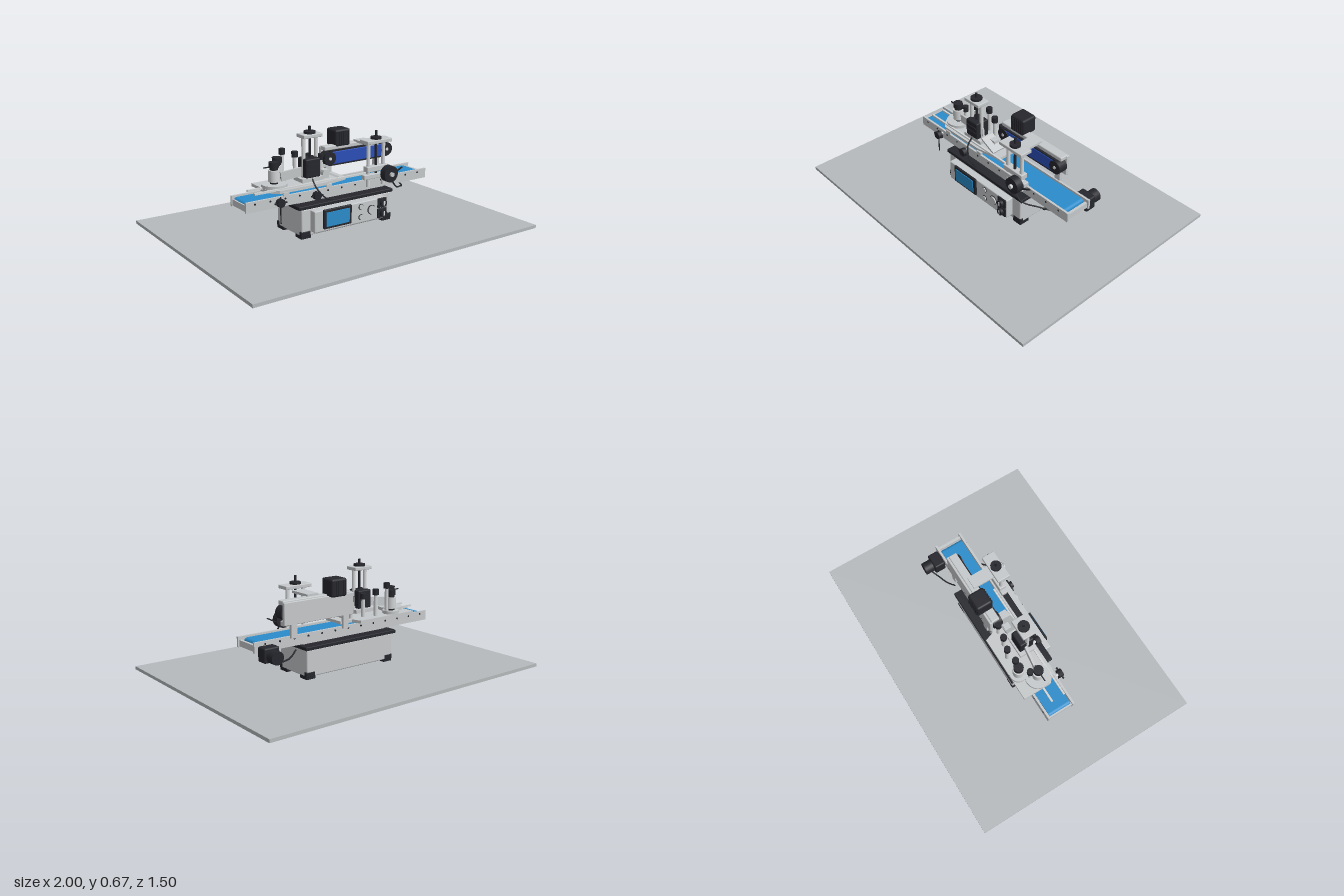
import * as THREE from 'three';
import { RoundedBoxGeometry } from 'three/addons/geometries/RoundedBoxGeometry.js';

const mat = (name, color) => Object.assign(new THREE.MeshStandardMaterial({ color }), { name });

export function createModel() {
  const root = new THREE.Group();
  root.name = 'labelApplicator';
  const floorGrey = mat('floor grey', 0xb6babc);
  const metal = mat('light metal', 0xc6c9cb);
  const steel = mat('bright steel', 0xd2d5d6);
  const black = mat('soft black', 0x26272d);
  const blue = mat('belt blue', 0x2a8ccb);
  const royal = mat('press belt blue', 0x2a4fb8);

  const add = (name, geo, m, x = 0, y = 0, z = 0) => {
    const mesh = new THREE.Mesh(geo, m);
    mesh.name = name;
    mesh.position.set(x, y, z);
    root.add(mesh);
    return mesh;
  };
  // Box given by its lower and upper corners, optionally rounded
  const box = (name, m, a, b, r = 0) => {
    const s = a.map((v, i) => b[i] - v);
    const geo = r ? new RoundedBoxGeometry(...s, 2, r) : new THREE.BoxGeometry(...s);
    return add(name, geo, m, ...a.map((v, i) => (v + b[i]) / 2));
  };
  // Upright cylinder from y0 to y1
  const post = (name, m, x, z, r, y0, y1, n = 20) =>
    add(name, new THREE.CylinderGeometry(r, r, y1 - y0, n), m, x, (y0 + y1) / 2, z);
  // Cylinder lying along z
  const dial = (name, m, x, y, r, z0, z1, n = 24) => {
    const c = add(name, new THREE.CylinderGeometry(r, r, z1 - z0, n), m, x, y, (z0 + z1) / 2);
    c.rotation.x = Math.PI / 2;
    return c;
  };
  const cable = (name, pts) => add(name, new THREE.TubeGeometry(
    new THREE.CatmullRomCurve3(pts.map(p => new THREE.Vector3(...p))), 32, 0.005, 6), black);

  box('floorPlate', floorGrey, [-1, 0, -0.75], [1, 0.02, 0.75]);

  // Control cabinet with feet, bumpers and black lid
  box('cabinet', metal, [-0.33, 0.035, -0.135], [0.33, 0.2, 0.14], 0.008);
  for (const x of [-0.3, 0.3]) for (const z of [-0.098, 0.105]) {
    box('foot', black, [x - 0.032, 0.02, z - 0.035], [x + 0.032, 0.04, z + 0.035]);
    const out = Math.sign(x), zs = Math.sign(z);
    box('cornerBumper', black, [x - 0.032 + out * 0.003, 0.035, z - 0.012 + zs * 0.026],
      [x + 0.032 + out * 0.003, 0.065, z + 0.012 + zs * 0.026], 0.004);
  }
  box('cabinetLid', black, [-0.35, 0.2, -0.15], [0.345, 0.222, 0.145], 0.004);

  // Front control panel
  box('controlPanel', metal, [-0.27, 0.06, 0.135], [0.262, 0.192, 0.188], 0.006);
  box('screenFrame', black, [-0.212, 0.075, 0.185], [-0.01, 0.195, 0.2], 0.005);
  box('screen', blue, [-0.196, 0.09, 0.198], [-0.03, 0.178, 0.204]);
  for (const y of [0.097, 0.162]) {
    dial('smallButton', black, 0.065, y, 0.018, 0.186, 0.191);
    dial('smallButtonCap', metal, 0.065, y, 0.015, 0.187, 0.197);
    box('switchPlate', black, [0.19, y - 0.031, 0.186], [0.258, y + 0.031, 0.197], 0.004);
    dial('switchKnob', black, 0.225, y, 0.022, 0.19, 0.214);
    box('switchGrip', steel, [0.22, y - 0.014, 0.213], [0.23, y + 0.014, 0.217]);
  }
  dial('largeButtonRing', black, 0.145, 0.13, 0.03, 0.186, 0.191);
  dial('largeButton', metal, 0.145, 0.13, 0.026, 0.187, 0.199);

  // Conveyor: belt, end rollers, side rails and bed
  box('conveyorBelt', blue, [-0.635, 0.242, -0.078], [0.605, 0.282, 0.072]);
  for (const x of [-0.635, 0.605]) dial('beltEnd', blue, x, 0.262, 0.02, -0.078, 0.072);
  for (const z of [-0.095, 0.077]) box('sideRail', metal, [-0.667, 0.23, z], [0.662, 0.292, z + 0.014]);
  for (const x of [-0.662, 0.635]) box('endBar', metal, [x, 0.235, -0.085], [x + 0.018, 0.272, 0.08]);
  box('conveyorBed', metal, [-0.32, 0.222, -0.08], [0.32, 0.243, 0.075]);
  for (let i = 0; i < 13; i++) for (const z of [-0.098, 0.09])
    dial('railBolt', black, -0.61 + i * 0.1, 0.275, 0.006, z, z + 0.004, 8);
  for (const x of [-0.46, -0.21]) {
    dial('railClampStem', steel, x, 0.265, 0.01, 0.09, 0.115);
    dial('railClampKnob', black, x, 0.265, 0.026, 0.108, 0.138, 8);
    box('railClampBar', black, [x - 0.04, 0.261, 0.12], [x + 0.04, 0.269, 0.13]);
  }
  post('hangingRod', black, -0.46, 0.123, 0.004, 0.14, 0.3, 8);

  // Conveyor drive motor
  box('driveMotor', black, [0.54, 0.182, -0.168], [0.642, 0.27, -0.095], 0.01);
  dial('driveMotorCap', black, 0.592, 0.22, 0.04, -0.225, -0.16);
  cable('motorCable', [[0.39, 0.21, -0.11], [0.45, 0.18, -0.14], [0.52, 0.175, -0.165], [0.6, 0.19, -0.2]]);
  cable('frontCable', [[0.31, 0.29, 0.17], [0.36, 0.235, 0.16], [0.44, 0.21, 0.1], [0.52, 0.185, 0.02], [0.57, 0.19, -0.1]]);

  // Label deck above the infeed end
  const deckShape = new THREE.Shape([[-0.495, 0.155], [-0.06, 0.155], [-0.04, 0.095], [0.05, 0.095],
    [0.05, -0.05], [-0.12, -0.085], [-0.44, -0.085], [-0.495, -0.03]].map(p => new THREE.Vector2(...p)));
  const deck = add('labelDeck', new THREE.ExtrudeGeometry(deckShape, { depth: 0.018, bevelEnabled: false }), metal, 0, 0.305, 0);
  deck.rotation.x = -Math.PI / 2;
  for (const x of [-0.4, -0.1]) for (const z of [-0.088, 0.084])
    box('deckSupport', metal, [x - 0.02, 0.29, z - 0.008], [x + 0.02, 0.31, z + 0.008]);
  box('guideRod', steel, [-0.595, 0.318, -0.03], [-0.48, 0.33, -0.018]);
  box('guideRod', steel, [-0.595, 0.318, 0.055], [0.2, 0.33, 0.067]);

  // Label spools with flanges
  for (const [x, z, r] of [[-0.42, -0.015, 0.077], [-0.345, -0.105, 0.052]]) {
    post('spoolFlange', metal, x, z, r, 0.323, 0.343, 32);
    post('spoolCore', black, x, z, 0.024, 0.343, 0.46);
    post('spoolCollar', steel, x, z, 0.034, 0.355, 0.425);
    post('spoolKnob', black, x, z, 0.03, 0.44, 0.472);
  }
  box('spoolArm', black, [-0.49, 0.443, -0.018], [-0.38, 0.449, -0.012]);
  // Guide posts with black caps
  for (const [x, z, top] of [[-0.31, -0.105, 0.52], [-0.22, -0.105, 0.49], [-0.14, -0.08, 0.47],
    [-0.055, -0.065, 0.46], [-0.395, -0.055, 0.44]]) {
    post('guidePost', steel, x, z, 0.012, 0.32, top - 0.03);
    post('guidePostCap', black, x, z, 0.02, top - 0.035, top);
  }
  // Slanted peel plate and its nose block
  const peel = box('peelArm', metal, [-0.38, 0.365, 0], [-0.13, 0.42, 0.014]);
  peel.rotation.set(0, -0.12, 0.12);
  const nose = box('peelNose', metal, [-0.12, 0.35, -0.035], [0.0, 0.362, 0.055]);
  nose.rotation.z = -0.45;
  box('noseBracket', metal, [-0.09, 0.32, -0.03], [-0.045, 0.375, 0.01]);

  // Height-adjustable stand: two columns, cross plate, threaded rod and knob
  const stand = (x, z, half, y0, plateTop, w, d, rodTop, r) => {
    for (const s of [-1, 1]) post('standColumn', steel, x + s * half, z, 0.012, y0, plateTop - 0.01);
    box('standTopPlate', metal, [x - w, plateTop - 0.022, z - d], [x + w, plateTop, z + d], 0.004);
    post('threadedRod', black, x, z, 0.008, y0 + 0.06, rodTop, 10);
    post('standKnob', black, x, z, r, plateTop, plateTop + 0.014);
  };
  stand(-0.193, 0.022, 0.045, 0.3, 0.622, 0.066, 0.043, 0.665, 0.036);
  stand(0.24, 0.103, 0.058, 0.25, 0.547, 0.094, 0.042, 0.6, 0.034);

  // Print head on the tall stand
  box('printHead', black, [-0.247, 0.36, -0.03], [-0.145, 0.475, 0.065], 0.008);
  for (let i = 0; i < 2; i++)
    box('printHeadRib', black, [-0.238, 0.4 + i * 0.035, 0.06], [-0.154, 0.408 + i * 0.035, 0.07]);
  box('printHeadBase', metal, [-0.27, 0.335, -0.04], [-0.12, 0.358, 0.06]);
  cable('headCable', [[-0.2, 0.36, 0.05], [-0.195, 0.3, 0.1], [-0.14, 0.235, 0.125], [-0.07, 0.22, 0.13]]);

  // Handwheel bracket on the front stand
  box('standFoot', metal, [0.14, 0.3, 0.085], [0.34, 0.33, 0.122], 0.004);
  box('standSlider', metal, [0.16, 0.345, 0.08], [0.32, 0.38, 0.126], 0.004);
  dial('handwheelShaft', steel, 0.3, 0.328, 0.015, 0.1, 0.15);
  dial('handwheel', black, 0.3, 0.328, 0.052, 0.14, 0.185);
  dial('handwheelHub', metal, 0.3, 0.328, 0.014, 0.183, 0.2);
  const lever = box('lever', black, [0.32, 0.325, 0.145], [0.42, 0.333, 0.153]);
  lever.rotation.z = 0.45;

  // Side press belt: face belt, end rollers, back plate and top rail
  box('pressBelt', royal, [-0.01, 0.388, -0.085], [0.435, 0.467, -0.032], 0.004);
  for (const x of [-0.01, 0.432]) {
    dial('pressRoller', black, x, 0.428, 0.043, -0.088, -0.028);
    dial('pressRollerPin', steel, x, 0.428, 0.01, -0.03, -0.024, 12);
  }
  for (const y of [0.38, 0.468]) box('pressEdge', black, [-0.01, y, -0.086], [0.435, y + 0.008, -0.034]);
  box('pressTopRail', metal, [-0.038, 0.476, -0.098], [0.465, 0.503, -0.045], 0.006);
  box('pressBackPlate', metal, [-0.04, 0.36, -0.112], [0.468, 0.495, -0.09], 0.004);
  for (const x of [0.02, 0.4]) box('pressBracket', metal, [x - 0.02, 0.28, -0.112], [x + 0.02, 0.365, -0.09]);
  box('pressLink', metal, [0.2, 0.5, -0.075], [0.28, 0.515, 0.08]);

  // Press belt motor with cooling fins
  box('pressMotor', black, [0.04, 0.488, -0.148], [0.153, 0.598, -0.042], 0.014);
  for (let i = 0; i < 6; i++)
    box('motorFin', black, [0.052 + i * 0.016, 0.5, -0.151], [0.058 + i * 0.016, 0.585, -0.038]);

  return root;
}
